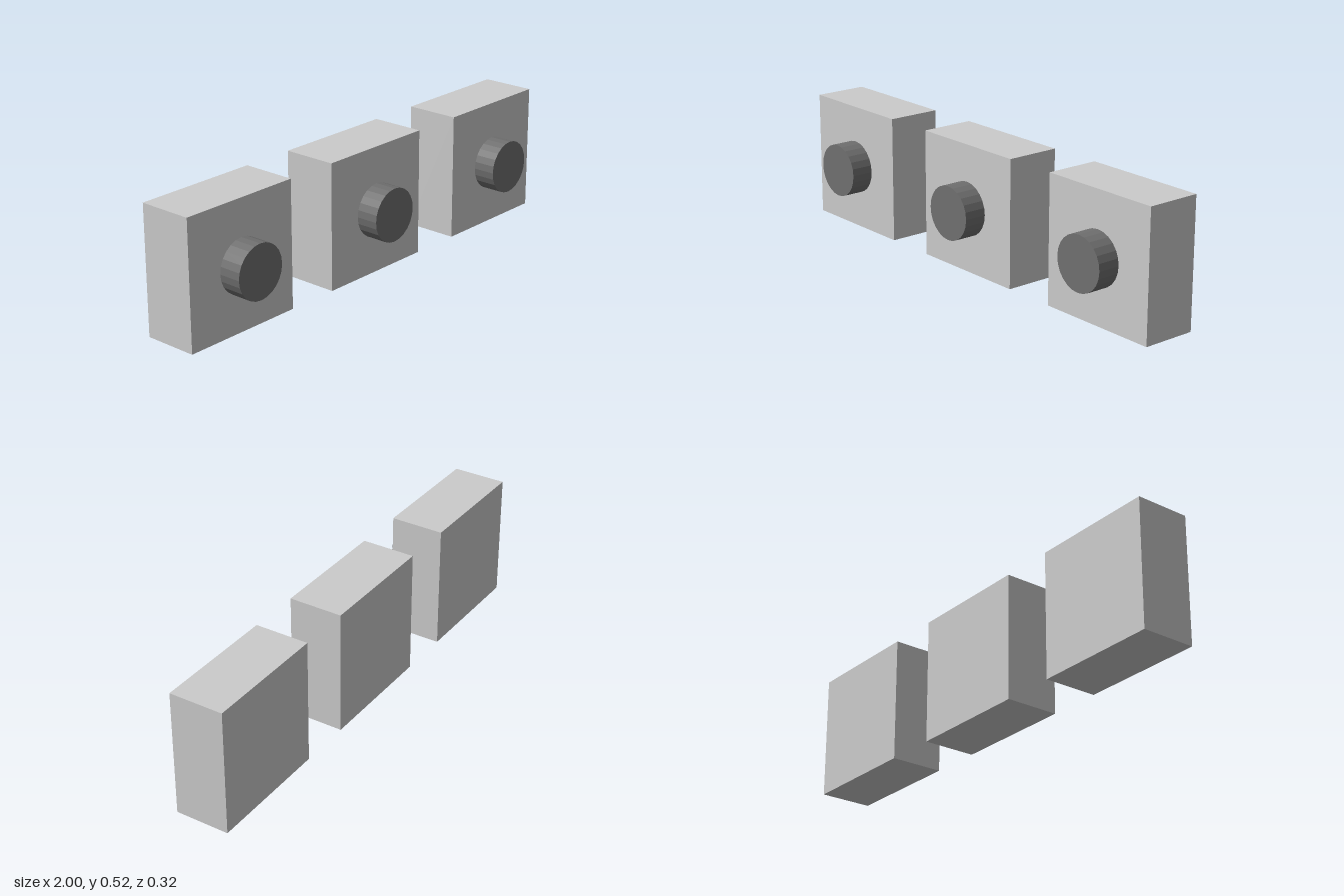
import * as THREE from 'three';

const SIZE = 0.52, BACK = -0.158, FACE = 0.065, FRONT = 0.158;
const SPACING = 0.74, BUTTON_RADIUS = 0.11;

export function createModel() {
  const model = new THREE.Group();
  const housingMaterial = new THREE.MeshStandardMaterial({ color: 0xcccccc, flatShading: true });
  const buttonMaterial = new THREE.MeshStandardMaterial({ color: 0x707070, flatShading: true });

  // Square housing standing on the ground
  const housingGeometry = new THREE.BoxGeometry(SIZE, SIZE, FACE - BACK);
  housingGeometry.translate(0, SIZE / 2, (FACE + BACK) / 2);

  // Round button projecting from the front face
  const buttonGeometry = new THREE.CylinderGeometry(BUTTON_RADIUS, BUTTON_RADIUS, FRONT - FACE, 24);
  buttonGeometry.rotateX(Math.PI / 2);
  buttonGeometry.translate(0, SIZE / 2, (FRONT + FACE) / 2);

  // Three identical units in a row
  ['right', 'middle', 'left'].forEach((side, i) => {
    const unit = new THREE.Group();
    unit.name = `${side}Unit`;
    unit.position.x = (i - 1) * SPACING;

    const housing = new THREE.Mesh(housingGeometry, housingMaterial);
    housing.name = `${side}Housing`;
    const button = new THREE.Mesh(buttonGeometry, buttonMaterial);
    button.name = `${side}Button`;

    unit.add(housing, button);
    model.add(unit);
  });

  return model;
}
